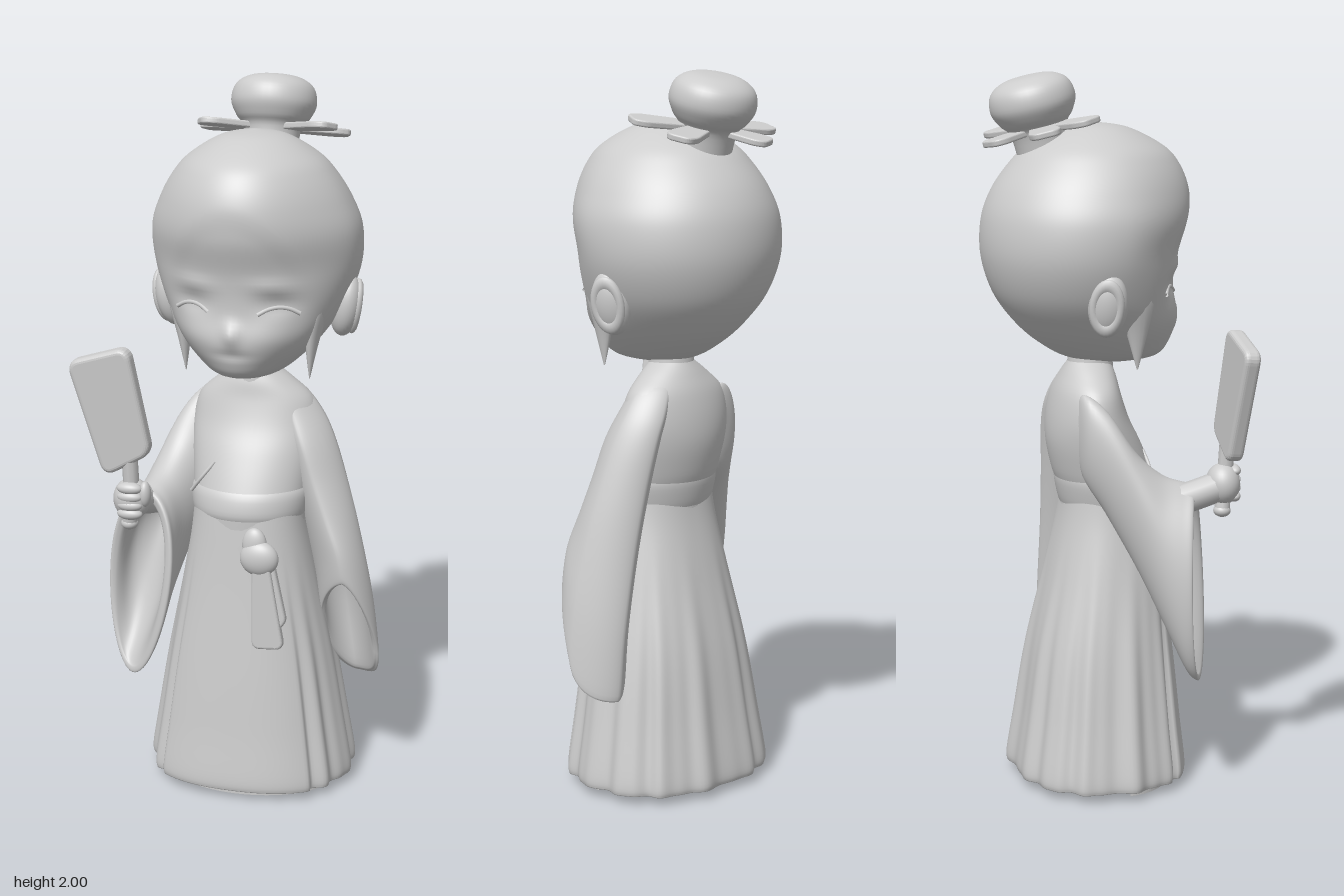
import * as THREE from 'three';

const clay = new THREE.MeshStandardMaterial({ color: 0xcccccc, side: THREE.DoubleSide });
clay.name = 'clay grey';
const CX = 0.025; // the figure leans slightly off the centre line

function add(parent, name, geometry, x = 0, y = 0, z = 0) {
  const m = new THREE.Mesh(geometry, clay);
  m.name = name;
  m.position.set(x, y, z);
  parent.add(m);
  return m;
}

// Catmull-Rom interpolation of rows of numbers
function smooth(rows, steps) {
  const out = [];
  const at = i => rows[Math.max(0, Math.min(rows.length - 1, i))];
  for (let i = 0; i < rows.length - 1; i++) {
    for (let s = 0; s < steps; s++) {
      const t = s / steps, p = at(i - 1), q = at(i), r = at(i + 1), w = at(i + 2);
      out.push(q.map((v, k) => v + 0.5 * t * (r[k] - p[k] +
        t * (2 * p[k] - 5 * v + 4 * r[k] - w[k] + t * (3 * (v - r[k]) + w[k] - p[k])))));
    }
  }
  out.push(rows[rows.length - 1]);
  return out;
}

// Skin through rings; place(row, angle) gives the point [x, y, z]
function loft(rows, sides, place) {
  const pos = [], idx = [];
  rows.forEach((row, i) => {
    for (let j = 0; j < sides; j++) {
      pos.push(...place(row, (j / sides) * Math.PI * 2));
      if (i === rows.length - 1) continue;
      const a = i * sides + j, b = i * sides + (j + 1) % sides;
      idx.push(a, b, a + sides, b, b + sides, a + sides);
    }
  });
  const g = new THREE.BufferGeometry();
  g.setAttribute('position', new THREE.Float32BufferAttribute(pos, 3));
  g.setIndex(idx);
  g.computeVertexNormals();
  return g;
}

// Horizontal ring, row = [y, x0, x1, zFront, zBack]; power n shapes the oval
const power = (v, n) => Math.sign(v) * Math.abs(v) ** n;
const oval = ([y, x0, x1, zf, zb], a, n = 1) => [
  (x0 + x1) / 2 + (x1 - x0) / 2 * power(Math.cos(a), n),
  y,
  (zf + zb) / 2 + (zf - zb) / 2 * power(Math.sin(a), n)];
const centred = rows => rows.map(([y, w, zf, zb]) => [y, CX - w, CX + w, zf, zb]);

// Flat plate with rounded corners and soft edges
function plate(points, radius, depth, bevel) {
  const p = points.map(q => new THREE.Vector2(...q)), s = new THREE.Shape();
  p.forEach((c, i) => {
    const toward = o => c.clone().add(o.clone().sub(c).setLength(radius));
    const a = toward(p[(i + p.length - 1) % p.length]), b = toward(p[(i + 1) % p.length]);
    if (i) s.lineTo(a.x, a.y); else s.moveTo(a.x, a.y);
    s.quadraticCurveTo(c.x, c.y, b.x, b.y);
  });
  s.closePath();
  return new THREE.ExtrudeGeometry(s, { depth, bevelThickness: bevel, bevelSize: bevel, bevelSegments: 4, curveSegments: 6 });
}

const tube = (pts, r) => new THREE.TubeGeometry(
  new THREE.CatmullRomCurve3(pts.map(p => new THREE.Vector3(...p))), 20, r, 10);
const ball = (x, y, z) => new THREE.SphereGeometry(1, 32, 20).scale(x, y, z);
const step = (v, a, b) => THREE.MathUtils.smoothstep(v, a, b);

function makeHead(parent) {
  const rows = smooth(centred([
    [1.865, 0.001, -0.02, -0.022], [1.85, 0.09, 0.08, -0.105], [1.8, 0.175, 0.18, -0.2], [1.75, 0.222, 0.226, -0.252],
    [1.68, 0.263, 0.252, -0.3], [1.6, 0.29, 0.252, -0.327], [1.5, 0.286, 0.222, -0.328], [1.4, 0.252, 0.212, -0.297],
    [1.32, 0.203, 0.222, -0.24], [1.26, 0.15, 0.207, -0.172], [1.215, 0.088, 0.17, -0.085], [1.195, 0.001, 0.06, 0.058]]), 7);
  const g = loft(rows, 112, oval), p = g.attributes.position;
  // Sculpted features: x, y, push, radius x, radius y
  const bumps = [[CX, 1.345, 0.016, 0.024, 0.03], [CX, 1.285, -0.006, 0.05, 0.014]];
  for (const s of [-1, 1]) bumps.push([CX + s * 0.12, 1.425, -0.012, 0.05, 0.025], [CX + s * 0.11, 1.475, 0.007, 0.06, 0.018],
    [CX + s * 0.11, 1.34, 0.008, 0.06, 0.05]);
  for (let i = 0; i < p.count; i++) {
    const x = p.getX(i), y = p.getY(i), z = p.getZ(i);
    if (z < 0) continue;
    let d = -0.005 * (1 - step(Math.hypot((x - CX) / 0.2, (y - 1.42) / 0.25), 0.8, 1.1));
    for (const [bx, by, push, rx, ry] of bumps) d += push * Math.exp(-(((x - bx) / rx) ** 2) - ((y - by) / ry) ** 2);
    p.setZ(i, z + d * step(z, 0, 0.06));
    p.setX(i, CX + (x - CX) * (1 - 0.1 * step(z, 0, 0.24) * step(y, 1.4, 1.55))); // brow narrows to the front
  }
  g.computeVertexNormals();
  add(parent, 'head', g);
  const faceZ = (x, y) => {
    let best = 1, z = 0;
    for (let i = 0; i < p.count; i++) {
      const d = Math.hypot(p.getX(i) - x, p.getY(i) - y);
      if (p.getZ(i) > 0 && d < best) { best = d; z = p.getZ(i); }
    }
    return z;
  };
  for (const s of [-1, 1]) {
    add(parent, 'closedEye', tube([-1, -0.5, 0, 0.5, 1].map(t => {
      const x = CX + s * 0.12 + t * 0.052, y = 1.4 + 0.018 * (1 - t * t);
      return [x, y, faceZ(x, y)];
    }), 0.006));
    // Ear with a raised rim, rooted in the side of the head
    const ear = new THREE.Group();
    ear.name = 'ear';
    ear.position.set(CX + s * 0.25, 1.388, -0.048);
    ear.rotation.set(0.12, s * 0.4, -s * 0.18);
    add(ear, 'earShell', ball(0.042, 0.088, 0.054));
    add(ear, 'earRim', new THREE.TorusGeometry(0.036, 0.012, 12, 28).rotateY(Math.PI / 2).scale(1, 1.65, 1), s * 0.026);
    parent.add(ear);
    // Pointed lock of hair in front of the ear
    add(parent, 'sideLock', loft(smooth([
      [1.5, 0.2, 0.235, 0.08, -0.02], [1.4, 0.175, 0.225, 0.1, -0.01],
      [1.3, 0.166, 0.2, 0.085, 0.025], [1.2, 0.176, 0.178, 0.06, 0.056]], 4), 16,
      (r, a) => { const q = oval(r, a * s); return [CX + s * q[0], q[1], q[2]]; }));
  }
}

function makeBun(parent) {
  const bun = new THREE.Group();
  bun.name = 'hairBun';
  bun.position.set(0.03, 1.847, -0.168);
  bun.rotation.x = -0.24;
  const profile = smooth([[0.075, -0.07], [0.08, 0], [0.102, 0.03], [0.119, 0.07], [0.108, 0.116], [0.066, 0.142], [0, 0.148]], 5);
  add(bun, 'bunKnot', new THREE.LatheGeometry(profile.map(q => new THREE.Vector2(Math.max(0, q[0]), q[1])), 40));
  // Ribbon petals spread round the knot
  for (const [dx, dz] of [[-0.205, -0.035], [-0.175, 0.105], [0.19, 0.1], [0.195, -0.085], [-0.07, -0.16]]) {
    const l = Math.hypot(dx, dz);
    const petal = plate([[0, -0.02], [l * 0.85, -0.04], [l, -0.028], [l, 0.028], [l * 0.85, 0.04], [0, 0.02]], 0.014, 0.008, 0.005);
    add(bun, 'ribbonPetal', petal.rotateX(-Math.PI / 2).rotateY(-Math.atan2(dz, dx)), 0, -0.002, 0);
  }
  parent.add(bun);
}

function makeRobe(parent) {
  add(parent, 'neck', new THREE.CylinderGeometry(0.058, 0.07, 0.14, 28), CX, 1.2, -0.025);
  const torso = centred([[1.205, 0.062, 0.03, -0.088], [1.17, 0.11, 0.042, -0.108], [1.12, 0.163, 0.052, -0.13],
    [1.05, 0.18, 0.075, -0.145], [0.98, 0.178, 0.11, -0.147], [0.9, 0.168, 0.145, -0.132], [0.84, 0.16, 0.165, -0.112], [0.78, 0.16, 0.165, -0.11]]);
  add(parent, 'torso', loft(smooth(torso, 5), 64, oval));
  add(parent, 'lapelEdge', tube([[-0.055, 0.955, 0.105], [-0.09, 0.91, 0.114], [-0.125, 0.865, 0.1]], 0.005));
  add(parent, 'sash', loft(smooth(centred([[0.9, 0.158, 0.135, -0.12], [0.87, 0.169, 0.16, -0.124],
    [0.82, 0.163, 0.17, -0.115], [0.79, 0.154, 0.158, -0.105]]), 4), 64, oval));

  // Skirt with a flat front panel, folded sides and a hollow hem
  const skirt = smooth(centred([[0.83, 0.155, 0.16, -0.105], [0.75, 0.165, 0.167, -0.118], [0.6, 0.193, 0.178, -0.152],
    [0.4, 0.232, 0.193, -0.197], [0.2, 0.265, 0.208, -0.228], [0.06, 0.288, 0.222, -0.25], [0.025, 0.287, 0.22, -0.248]]), 6);
  skirt.push(...centred([[0.02, 0.27, 0.205, -0.23], [0.05, 0.26, 0.195, -0.22], [0.18, 0.235, 0.17, -0.195], [0.19, 0.001, 0.0, -0.002]]));
  add(parent, 'skirt', loft(skirt, 180, (r, a) => {
    const [y, x0, x1, zf, zb] = r, c = Math.cos(a), s = Math.sin(a);
    const panel = s > 0 ? 1 - step(Math.abs(c), 0.68, 0.73) : 0;
    const ramp = step(0.8 - y, 0.05, 0.6);
    const fold = 1 + ramp * (0.05 * panel + (1 - panel) * (0.026 * Math.sin(13 * a) + 0.012 * Math.sin(23 * a + 1)));
    return [(x0 + x1) / 2 + (x1 - x0) / 2 * power(c, 0.86) * fold, y, (zf + zb) / 2 + (zf - zb) / 2 * power(s, 0.86) * fold];
  }));

  // Bow and hanging sash end
  add(parent, 'bowKnot', ball(0.055, 0.05, 0.03), 0.095, 0.71, 0.18);
  add(parent, 'bowLoop', ball(0.035, 0.05, 0.022), 0.08, 0.745, 0.174);
  add(parent, 'sashEnd', plate([[0.085, 0.69], [0.12, 0.69], [0.16, 0.46], [0.085, 0.455]], 0.015, 0.012, 0.008), 0, 0, 0.178);
  add(parent, 'sashEnd', plate([[0.1, 0.7], [0.13, 0.69], [0.165, 0.53], [0.13, 0.5]], 0.015, 0.01, 0.008), 0, 0, 0.168);

  // Legs and the rounded sole under the front hem
  for (const s of [-1, 1]) add(parent, 'leg', new THREE.CylinderGeometry(0.052, 0.052, 0.21, 28), CX + s * 0.085, 0.105, -0.05);
  const sole = new THREE.Shape();
  sole.absellipse(0, 0, 0.245, 0.175, 0, Math.PI, false);
  sole.quadraticCurveTo(0, 0.17, 0.245, 0);
  add(parent, 'sole', new THREE.ExtrudeGeometry(sole, { depth: 0.03, bevelEnabled: false, curveSegments: 32 }).rotateX(Math.PI / 2),
    CX, 0.03, 0.02);
}

function makeArms(parent) {
  // Lowered left sleeve, open at a slanting cuff; last two numbers are front lift and outer sag
  add(parent, 'leftSleeve', loft(smooth([
    [1.17, 0.08, 0.11, -0.02, -0.06, 0, 0], [1.145, 0.06, 0.165, 0.015, -0.1, 0, 0], [1.08, 0.08, 0.217, 0.035, -0.122, 0, 0],
    [1.0, 0.11, 0.257, 0.06, -0.125, 0, 0], [0.88, 0.14, 0.298, 0.072, -0.116, 0.02, 0], [0.75, 0.175, 0.335, 0.085, -0.11, 0.06, 0],
    [0.6, 0.21, 0.375, 0.1, -0.11, 0.12, 0.03], [0.48, 0.222, 0.395, 0.1, -0.108, 0.165, 0.07], [0.465, 0.23, 0.388, 0.092, -0.095, 0.16, 0.07],
    [0.49, 0.243, 0.373, 0.076, -0.08, 0.15, 0.06], [0.65, 0.23, 0.33, 0.05, -0.07, 0.1, 0], [0.75, 0.25, 0.27, 0, -0.02, 0, 0]], 5), 48,
  (r, a) => {
    const [x, y, z] = oval(r, a, 1.28);
    return [x, y + r[5] * Math.sin(a) - r[6] * Math.max(0, Math.cos(a)) ** 2, z];
  }));

  // Raised right sleeve, row = [z, centre x, half width, top, bottom]
  add(parent, 'rightSleeve', loft(smooth([
    [-0.1, -0.1, 0.02, 1.08, 1.0], [-0.085, -0.115, 0.055, 1.13, 0.9], [-0.03, -0.15, 0.07, 1.09, 0.8], [0.04, -0.193, 0.078, 0.98, 0.66],
    [0.11, -0.225, 0.086, 0.915, 0.5], [0.17, -0.243, 0.1, 0.892, 0.37], [0.2, -0.248, 0.106, 0.885, 0.34],
    [0.203, -0.248, 0.094, 0.87, 0.355], [0.185, -0.248, 0.078, 0.85, 0.38], [0.11, -0.235, 0.06, 0.84, 0.52], [0.04, -0.2, 0.005, 0.82, 0.8]], 5), 56,
  ([z, x, w, top, bottom], a) => {
    const c = Math.cos(a), s = Math.sin(a), reach = step(z, 0, 0.2);
    return [x + w * c * (1 + 0.15 * s * reach) + 0.025 * s * reach,
      (top + bottom) / 2 + (top - bottom) / 2 * s, z + 0.05 * reach * c];
  }));
  add(parent, 'forearm', tube([[-0.22, 0.83, 0.08], [-0.235, 0.85, 0.17], [-0.24, 0.88, 0.27]], 0.042));

  // Fist with curled fingers
  add(parent, 'hand', ball(0.052, 0.058, 0.048), -0.238, 0.885, 0.278);
  for (let i = 0; i < 4; i++) add(parent, 'finger', ball(0.036, 0.017, 0.02), -0.235, 0.922 - i * 0.024, 0.308);
  add(parent, 'thumb', ball(0.017, 0.036, 0.02), -0.195, 0.905, 0.295);

  // Flat paddle fan held upright
  const fan = new THREE.Group();
  fan.name = 'fan';
  fan.position.set(-0.24, 0.96, 0.277);
  fan.rotation.x = 0.06;
  add(fan, 'fanBlade', plate([[-0.15, 0.3], [0.0, 0.345], [0.052, 0.07], [-0.062, 0.006]], 0.022, 0.02, 0.013));
  add(fan, 'fanHandle', tube([[0.0, 0.06, 0.01], [0.002, -0.05, 0.01], [-0.008, -0.15, 0.005]], 0.022));
  add(fan, 'handleEnd', ball(0.024, 0.018, 0.024), -0.008, -0.148, 0.005);
  parent.add(fan);
}

export function createModel() {
  const model = new THREE.Group();
  model.name = 'robedFigure';
  makeHead(model);
  makeBun(model);
  makeRobe(model);
  makeArms(model);
  return model;
}
